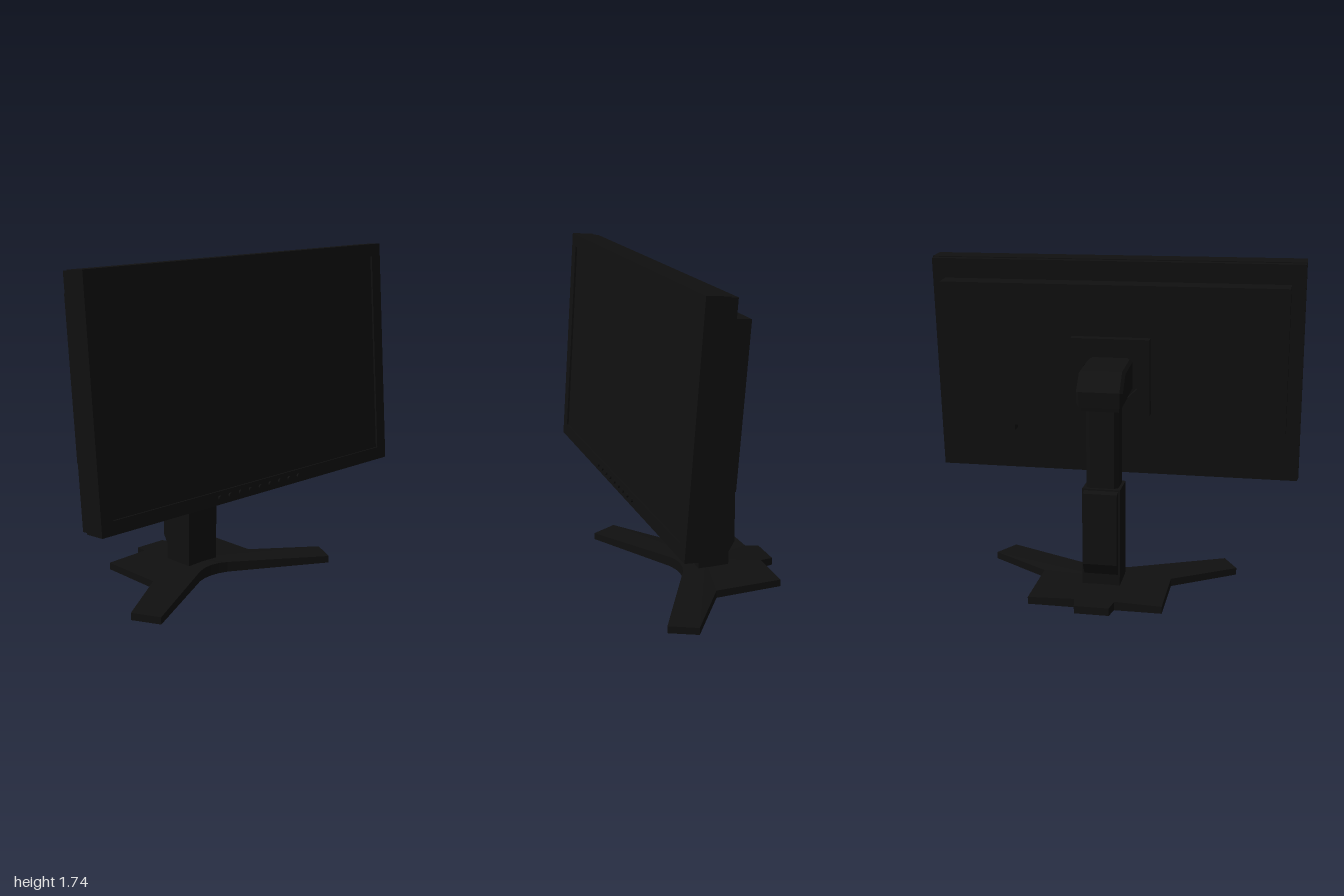
import * as THREE from 'three';

const black = new THREE.MeshStandardMaterial({ color: 0x101010, flatShading: true });

function add(parent, name, geometry, x = 0, y = 0, z = 0) {
  const mesh = new THREE.Mesh(geometry, black);
  mesh.name = name;
  mesh.position.set(x, y, z);
  parent.add(mesh);
  return mesh;
}

const box = (w, h, d) => new THREE.BoxGeometry(w, h, d);
const outline = (pts) => new THREE.Shape(pts.map(([a, b]) => new THREE.Vector2(a, b)));
const rect = (w, h) => [[-w, -h], [w, -h], [w, h], [-w, h]];

// Extrudes a [z, y] side profile across x, with chamfered side edges
function sideProfile(pts, width, bevel = 0) {
  const g = new THREE.ExtrudeGeometry(outline(pts), {
    depth: width - 2 * bevel, bevelEnabled: bevel > 0, bevelSize: bevel,
    bevelThickness: bevel, bevelOffset: -bevel, bevelSegments: 1,
  });
  g.translate(0, 0, bevel - width / 2);
  return g.rotateY(-Math.PI / 2);
}

// Flat frame with an opening, extruded along z
function frame(outer, inner, depth) {
  const shape = outline(outer);
  shape.holes.push(outline(inner));
  return new THREE.ExtrudeGeometry(shape, { depth, bevelEnabled: false });
}

// Star-shaped foot: top rises gently from the rim to the middle
function footGeometry() {
  const half = [[0, 0.07], [0.05, 0.075], [0.1, 0.09], [0.61, 0.37], [0.685, 0.23], [0.35, 0],
    [0.35, -0.37], [0.105, -0.37], [0.09, -0.445]];
  const rim = [...half, ...half.slice(1).reverse().map(([x, z]) => [-x, z])];
  const pos = [];
  const centre = [0, -0.08];
  const rise = (x, z) => 0.06 - 0.022 * Math.min(1, Math.max(0, (Math.hypot(x, z + 0.08) - 0.15) / 0.25));
  rim.forEach(([ax, az], i) => {
    const [bx, bz] = rim[(i + 1) % rim.length];
    const ya = rise(ax, az), yb = rise(bx, bz);
    pos.push(centre[0], 0.062, centre[1], ax, ya, az, bx, yb, bz);
    pos.push(centre[0], 0, centre[1], bx, 0, bz, ax, 0, az);
    pos.push(ax, 0, az, bx, 0, bz, bx, yb, bz, ax, 0, az, bx, yb, bz, ax, ya, az);
  });
  const g = new THREE.BufferGeometry();
  g.setAttribute('position', new THREE.Float32BufferAttribute(pos, 3));
  g.computeVertexNormals();
  return g;
}

export function createModel() {
  const model = new THREE.Group();
  model.name = 'monitor';

  // Stand
  const stand = new THREE.Group();
  stand.name = 'stand';
  model.add(stand);
  add(stand, 'foot', footGeometry());
  add(stand, 'lowerColumn', box(0.2, 0.54, 0.175), 0, 0.31, -0.0875);
  add(stand, 'columnBackCover', sideProfile(
    [[-0.16, 0.1], [-0.16, 0.575], [-0.215, 0.565], [-0.215, 0.18], [-0.172, 0.11]], 0.18));

  // Sliding column with chamfered corners
  const c = 0.02, w = 0.085, d = 0.07;
  const column = new THREE.ExtrudeGeometry(outline([
    [-w + c, -d], [w - c, -d], [w, -d + c], [w, d - c], [w - c, d], [-w + c, d], [-w, d - c], [-w, -d + c],
  ]), { depth: 0.5, bevelEnabled: false }).rotateX(-Math.PI / 2);
  add(stand, 'slidingColumn', column, 0, 0.54, -0.085);

  // Tilting head joining column and screen
  add(stand, 'headCollar', sideProfile(
    [[0.04, 1.02], [0.04, 1.06], [-0.21, 1.04], [-0.205, 1.0]], 0.2));
  add(stand, 'head', sideProfile(
    [[0.1, 1.05], [0.1, 1.222], [-0.15, 1.2], [-0.235, 1.105], [-0.227, 1.025]], 0.24, 0.015));

  // Screen, leaning back; local z is its facing direction
  const screen = new THREE.Group();
  screen.name = 'screen';
  screen.position.set(0, 1.137, 0.308);
  screen.rotation.x = -0.083;
  model.add(screen);
  add(screen, 'bezel', frame(rect(1, 0.595), rect(0.932, 0.528), 0.02), 0, 0, 0.055);
  add(screen, 'frontShell', box(2, 1.19, 0.095), 0, 0, 0.0075);
  add(screen, 'rearShell', box(1.99, 1.18, 0.035), 0, 0, -0.0575);
  add(screen, 'displayPanel', box(1.864, 1.056, 0.01), 0, 0, 0.06);
  add(screen, 'backHousing', box(1.85, 0.786, 0.108), 0, 0.091, -0.125);

  // Mounting plate with an octagonal opening
  const octagon = Array.from({ length: 8 }, (_, i) => {
    const a = (i + 0.5) * Math.PI / 4;
    return [0.155 * Math.cos(a), 0.155 * Math.sin(a)];
  });
  add(screen, 'mountingPlate', frame(rect(0.21, 0.208), octagon, 0.045), 0, 0, -0.222);
  add(screen, 'powerSocket', box(0.14, 0.05, 0.055), 0.62, -0.32, -0.128);

  // Row of control buttons
  for (let i = -4; i <= 4; i++) {
    const button = new THREE.CylinderGeometry(0.011, 0.011, 0.016, 12).rotateX(Math.PI / 2);
    add(screen, 'button', button, i * 0.07, -0.56, 0.076);
  }
  return model;
}
